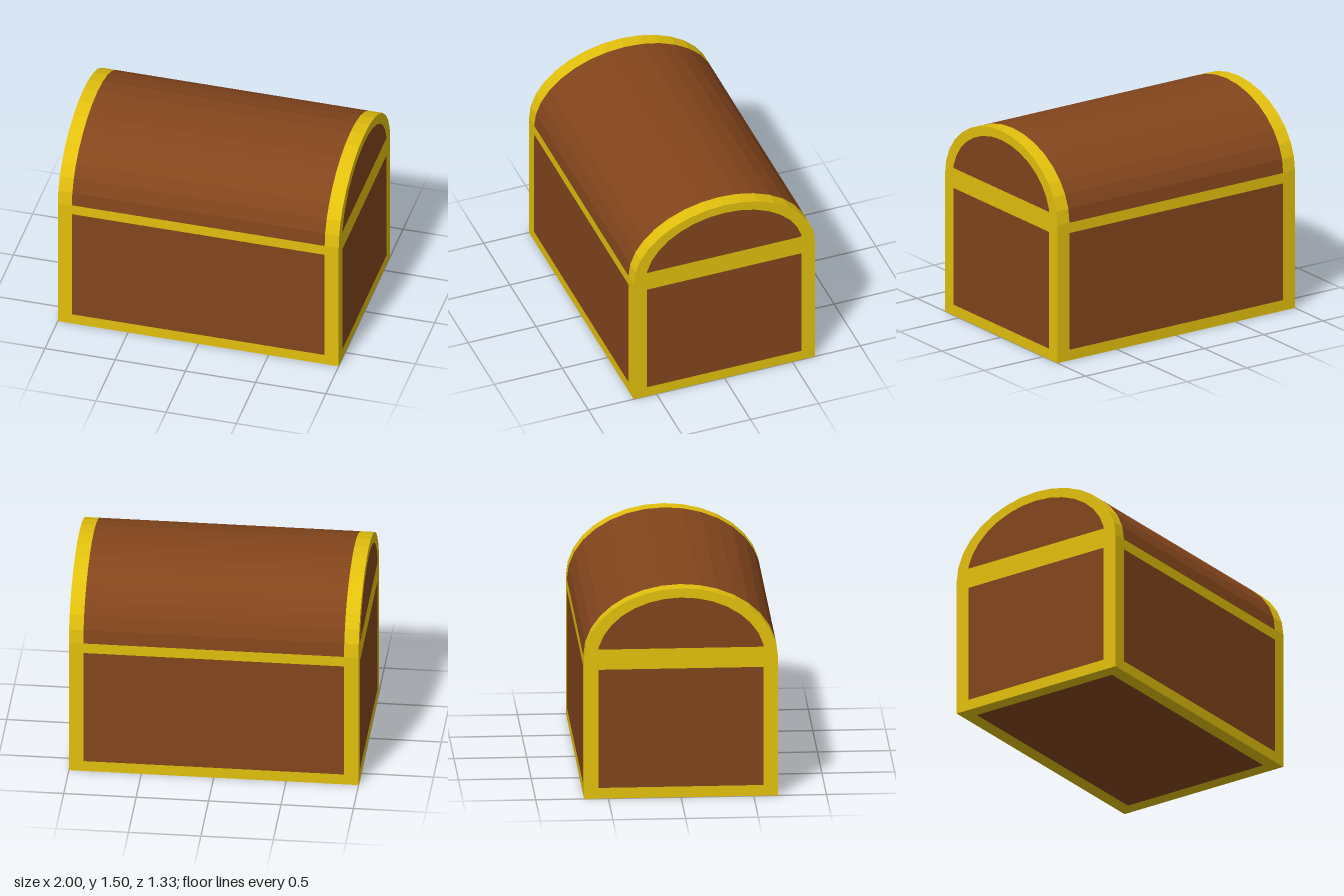
import * as THREE from 'three';

const HALF_X = 1, HALF_Z = 0.667, BODY_H = 1, LID_H = 0.5;
const INNER_X = 0.9, INNER_Z = 0.568, ARC_SEGMENTS = 16;

const gold = new THREE.MeshStandardMaterial({ color: 0xe2c00d, flatShading: true, side: THREE.DoubleSide });
const wood = new THREE.MeshStandardMaterial({ color: 0x83451c, flatShading: true, side: THREE.DoubleSide });

function mesh(name, geometry, material) {
  const m = new THREE.Mesh(geometry, material);
  m.name = name;
  return m;
}

function rect(halfW, y0, y1) {
  return [[-halfW, y0], [halfW, y0], [halfW, y1], [-halfW, y1]].map(([x, y]) => new THREE.Vector2(x, y));
}

// Points of the lid's half ellipse, from +x over the top to -x
function arch(scale, skip = 0) {
  const points = [];
  for (let i = skip; i <= ARC_SEGMENTS - skip; i++) {
    const a = (Math.PI * i) / ARC_SEGMENTS;
    points.push(new THREE.Vector2(HALF_Z * scale * Math.cos(a), BODY_H + LID_H * scale * Math.sin(a)));
  }
  return points;
}

// Flat face facing +z: gold trim around a flush wooden panel
function framedFace(name, outer, inner) {
  const group = new THREE.Group();
  group.name = name;
  const trim = new THREE.Shape(outer);
  trim.holes.push(new THREE.Path(inner));
  group.add(
    mesh(name + 'Trim', new THREE.ShapeGeometry(trim), gold),
    mesh(name + 'Panel', new THREE.ShapeGeometry(new THREE.Shape(inner)), wood)
  );
  return group;
}

// Strip of the arched lid surface between two x positions
function lidStrip(name, x0, x1, material) {
  const g = new THREE.CylinderGeometry(1, 1, x1 - x0, ARC_SEGMENTS, 1, true, 0, Math.PI);
  g.rotateZ(Math.PI / 2);
  g.scale(1, LID_H, HALF_Z);
  g.translate((x0 + x1) / 2, BODY_H, 0);
  return mesh(name, g, material);
}

export function createModel() {
  const chest = new THREE.Group();
  chest.name = 'chest';
  const body = new THREE.Group();
  body.name = 'body';
  const lid = new THREE.Group();
  lid.name = 'lid';
  chest.add(body, lid);

  // Front and back walls
  for (const [name, side] of [['front', 1], ['back', -1]]) {
    const wall = framedFace(name, rect(HALF_X, 0, BODY_H), rect(INNER_X, 0.077, 0.925));
    wall.position.z = side * HALF_Z;
    wall.rotation.y = side > 0 ? 0 : Math.PI;
    body.add(wall);
  }

  // End walls and the arched lid ends above them
  const lidOpening = [new THREE.Vector2(-0.569, 1.07), new THREE.Vector2(0.569, 1.07), ...arch(0.867, 1)];
  for (const [name, side] of [['left', 1], ['right', -1]]) {
    const wall = framedFace(name + 'End', rect(HALF_Z, 0, BODY_H), rect(INNER_Z, 0.077, 0.925));
    const lidEnd = framedFace(name + 'LidEnd', arch(1), lidOpening);
    for (const face of [wall, lidEnd]) {
      face.position.x = side * HALF_X;
      face.rotation.y = (side * Math.PI) / 2;
    }
    body.add(wall);
    lid.add(lidEnd);
  }

  // Underside
  const bottom = framedFace('bottom', rect(HALF_X, -HALF_Z, HALF_Z), rect(INNER_X, -INNER_Z, INNER_Z));
  bottom.rotation.x = Math.PI / 2;
  body.add(bottom);

  // Curved lid with a gold band at each end
  lid.add(
    lidStrip('lidPanel', -INNER_X, INNER_X, wood),
    lidStrip('leftLidBand', INNER_X, HALF_X, gold),
    lidStrip('rightLidBand', -HALF_X, -INNER_X, gold)
  );
  return chest;
}
